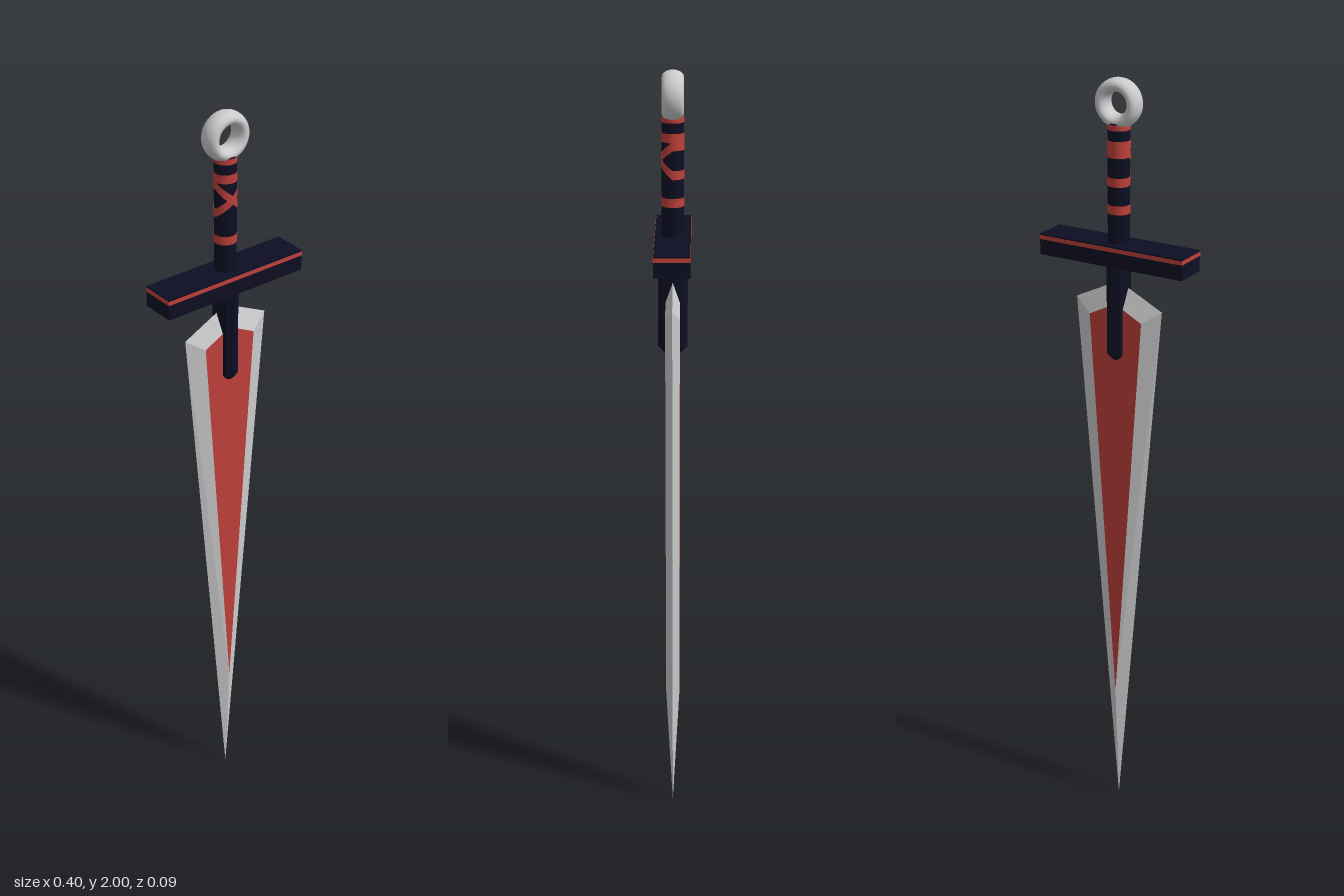
import * as THREE from 'three';

const steel = new THREE.MeshStandardMaterial({ color: 0xcccccc });
const steelFlat = new THREE.MeshStandardMaterial({ color: 0xcccccc, flatShading: true });
const navy = new THREE.MeshStandardMaterial({ color: 0x0d0e22 });
const navyFlat = new THREE.MeshStandardMaterial({ color: 0x0d0e22, flatShading: true });
const red = new THREE.MeshStandardMaterial({ color: 0xbf403a });
const wrapRed = new THREE.MeshStandardMaterial({ color: 0xbf403a, side: THREE.DoubleSide });

const GRIP_R = 0.027;

function add(parent, name, geometry, material, x = 0, y = 0, z = 0) {
  const mesh = new THREE.Mesh(geometry, material);
  mesh.name = name;
  mesh.position.set(x, y, z);
  parent.add(mesh);
  return mesh;
}

// Triangles from a list of corner arrays, wound for the front (s = 1) or the back (s = -1)
function faces(polys, s) {
  const out = [];
  for (const p of polys) {
    for (let i = 1; i < p.length - 1; i++) {
      const tri = s > 0 ? [p[0], p[i], p[i + 1]] : [p[0], p[i + 1], p[i]];
      for (const [x, y, z] of tri) out.push(x, y, z * s);
    }
  }
  const g = new THREE.BufferGeometry();
  g.setAttribute('position', new THREE.Float32BufferAttribute(out, 3));
  g.computeVertexNormals();
  return g;
}

// Cloth strip around the grip; its height follows heightAt(t), angle 0 is the front
function strip(from, to, width, heightAt) {
  const n = 24;
  const g = new THREE.PlaneGeometry(1, 1, n, 1);
  const p = g.attributes.position;
  for (let i = 0; i < p.count; i++) {
    const t = p.getX(i) + 0.5;
    const a = from + (to - from) * t;
    const r = GRIP_R + 0.0012;
    p.setXYZ(i, Math.sin(a) * r, heightAt(t) + p.getY(i) * width, Math.cos(a) * r);
  }
  g.computeVertexNormals();
  return g;
}

export function createModel() {
  const sword = new THREE.Group();
  sword.name = 'sword';

  // Blade: bevels from the cutting edge up to a raised coloured panel
  const blade = new THREE.Group();
  blade.name = 'blade';
  sword.add(blade);
  const edge = [[0, 1.5, 0], [-0.122, 1.44, 0], [0, 0, 0], [0.122, 1.44, 0]];
  const panel = [[0, 1.445, 0.018], [-0.074, 1.407, 0.018], [0, 0.34, 0.018], [0.074, 1.407, 0.018]];
  const bevels = edge.map((e, i) => {
    const j = (i + 1) % 4;
    return [e, edge[j], panel[j], panel[i]];
  });
  for (const s of [1, -1]) {
    const side = s > 0 ? 'Front' : 'Back';
    add(blade, 'bevel' + side, faces(bevels, s), steelFlat);
    add(blade, 'panel' + side, faces([panel], s), red);
  }

  // Collar gripping the blade root, pointed at its lower end
  const collar = new THREE.Group();
  collar.name = 'collar';
  collar.scale.z = 0.037 / GRIP_R;
  sword.add(collar);
  add(collar, 'collarBody', new THREE.CylinderGeometry(GRIP_R, GRIP_R, 0.25, 8), navyFlat, 0, 1.44, 0);
  add(collar, 'collarPoint', new THREE.CylinderGeometry(GRIP_R, 0.002, 0.033, 8), navyFlat, 0, 1.2985, 0);

  // Crossguard with an inlaid stripe near its top
  add(sword, 'crossguard', new THREE.BoxGeometry(0.4, 0.053, 0.088), navy, 0, 1.5735, 0);
  add(sword, 'guardStripe', new THREE.BoxGeometry(0.402, 0.01, 0.09), red, 0, 1.591, 0);

  // Grip and its wrapping
  add(sword, 'grip', new THREE.CylinderGeometry(GRIP_R, GRIP_R, 0.31, 24), navy, 0, 1.74, 0);
  const wrap = new THREE.Group();
  wrap.name = 'gripWrap';
  sword.add(wrap);
  for (const [y, w] of [[1.885, 0.014], [1.842, 0.022], [1.685, 0.022]]) {
    add(wrap, 'wrapBand', strip(0, Math.PI * 2, w, () => y), wrapRed);
  }
  for (const s of [1, -1]) {
    add(wrap, 'wrapCross', strip(-Math.PI / 2, Math.PI / 2, 0.022, t => 1.788 + s * 0.07 * (t - 0.5)), wrapRed);
    add(wrap, 'wrapBack', strip(Math.PI / 2, Math.PI * 1.5, 0.022, () => 1.788 + s * 0.035), wrapRed);
  }

  // Ring pommel
  const ring = add(sword, 'pommelRing', new THREE.TorusGeometry(0.0435, 0.0165, 20, 40), steel, 0, 1.94, 0);
  ring.scale.z = 1.6;

  return sword;
}
